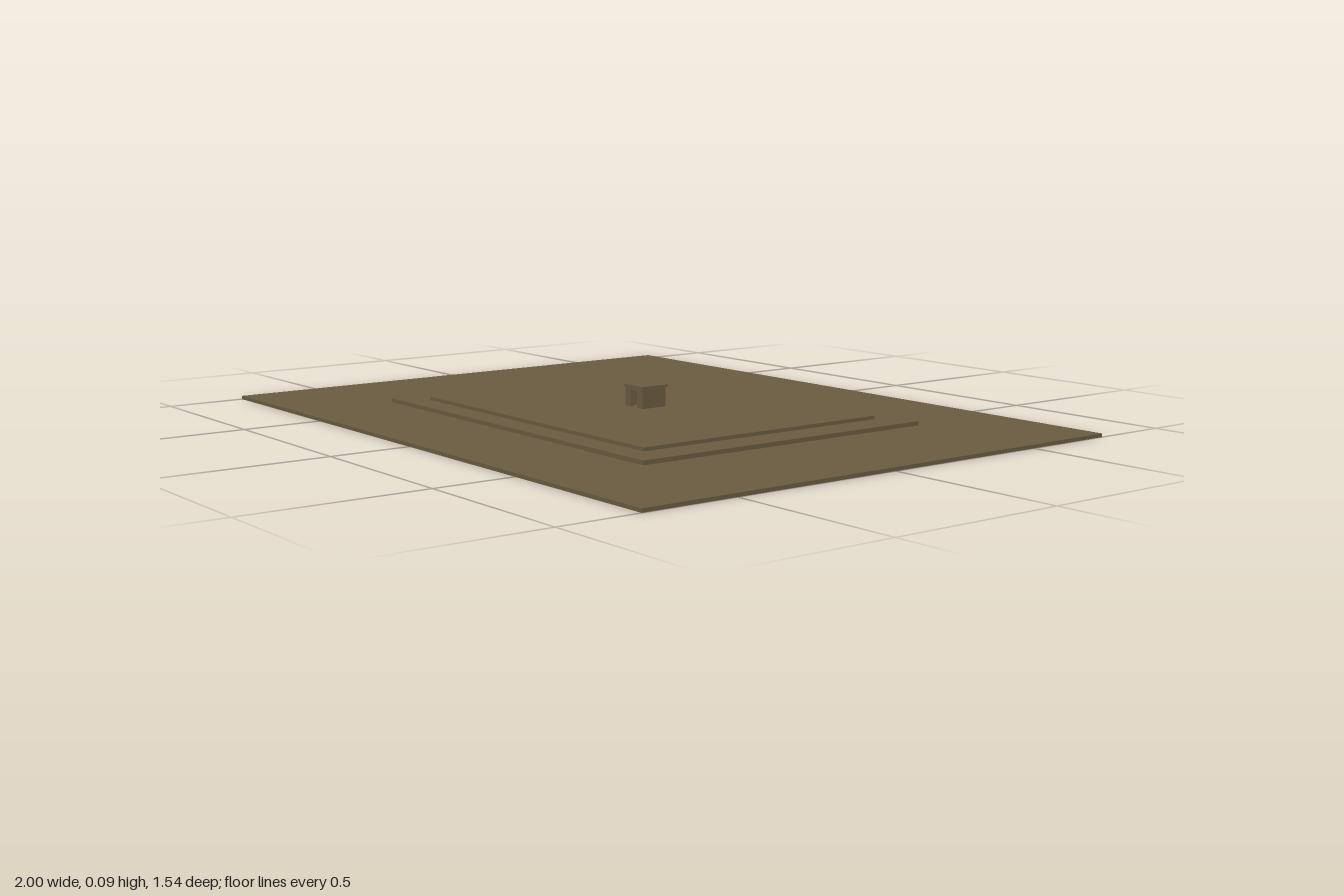
import * as THREE from 'three';

export function createModel() {
  const model = new THREE.Group();
  const earth = new THREE.MeshStandardMaterial({ color: 0x6b5d42 });
  earth.name = 'earthBrown';

  const add = (name, geometry, x = 0, y = 0, z = 0) => {
    const mesh = new THREE.Mesh(geometry, earth);
    mesh.name = name;
    mesh.position.set(x, y, z);
    model.add(mesh);
    return mesh;
  };
  // Box spanning y0 to y1
  const block = (name, w, y0, y1, d, x = 0, z = 0) =>
    add(name, new THREE.BoxGeometry(w, y1 - y0, d), x, (y0 + y1) / 2, z);

  // Stepped ground
  block('ground', 2, 0, 0.01, 1.545);
  block('lowerTerrace', 1.226, 0.01, 0.022, 0.948);
  block('upperTerrace', 1.034, 0.022, 0.032, 0.8);

  // Hollow hut with an open doorway at the front
  const base = 0.032, eave = 0.088, half = 0.041, wall = 0.008, door = 0.014;
  for (const s of [-1, 1]) {
    block('sideWall', wall, base, eave, half * 2, s * (half - wall / 2));
    const w = half - wall - door;
    block('frontWall', w, base, eave, wall, s * (door + w / 2), half - wall / 2);
  }
  block('backWall', (half - wall) * 2, base, eave, wall, 0, -half + wall / 2);
  block('doorLintel', door * 2, 0.08, eave, wall, 0, half - wall / 2);
  block('roof', 0.09, eave, 0.095, 0.09);

  // Arched niche projecting from the back wall
  const r = 0.012, spring = 0.021;
  const arch = new THREE.Shape();
  arch.moveTo(-r, 0);
  arch.lineTo(r, 0);
  arch.lineTo(r, spring);
  arch.absarc(0, spring, r, 0, Math.PI, false);
  arch.closePath();
  add('backNiche', new THREE.ExtrudeGeometry(arch, { depth: 0.01, bevelEnabled: false, curveSegments: 8 }),
    0, base, -half - 0.009);

  return model;
}
